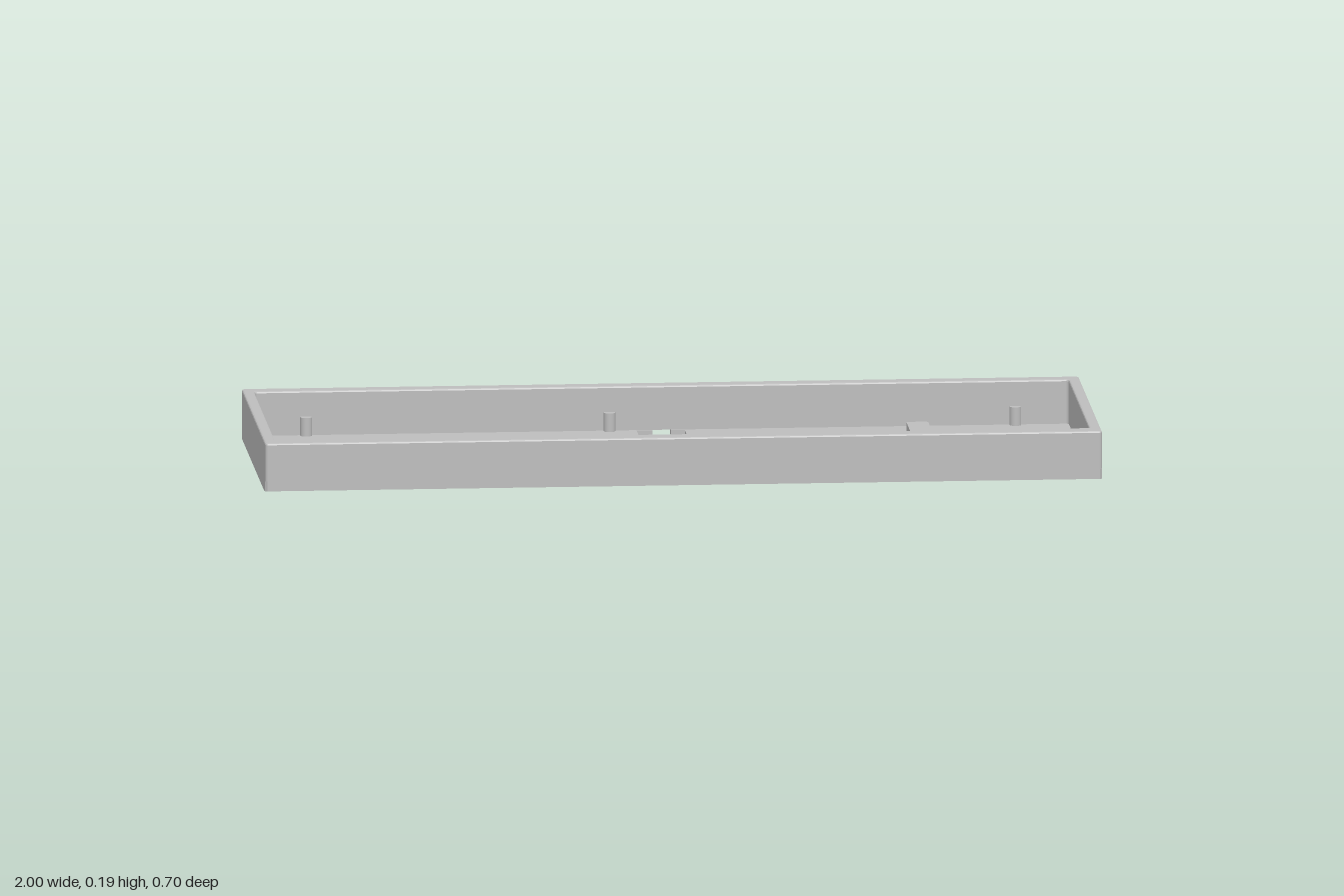
import * as THREE from 'three';

const grey = new THREE.MeshStandardMaterial({ color: 0xbdbdbd });
grey.name = 'grey plastic';

// height of the sloping underside at depth z
const slope = (z) => 0.0335 + 0.108 * z;

// closed outline in the x-z plane from corner points
const outline = (points) => new THREE.Shape(points.map(([x, z]) => new THREE.Vector2(x, z)));

// rectangle in the x-z plane with rounded corners
function rect(x0, x1, z0, z1, r = 0.008) {
  const s = new THREE.Shape();
  s.absarc(x1 - r, z1 - r, r, 0, Math.PI / 2);
  s.absarc(x0 + r, z1 - r, r, Math.PI / 2, Math.PI);
  s.absarc(x0 + r, z0 + r, r, Math.PI, Math.PI * 1.5);
  s.absarc(x1 - r, z0 + r, r, Math.PI * 1.5, Math.PI * 2);
  s.closePath();
  return s;
}

export function createModel() {
  const group = new THREE.Group();

  function add(name, geometry) {
    const mesh = new THREE.Mesh(geometry, grey);
    mesh.name = name;
    group.add(mesh);
    return mesh;
  }

  // vertical slab between two heights; each height may be a function of z
  function slab(name, shape, bottom, top, holes = []) {
    shape.holes = holes;
    const geo = new THREE.ExtrudeGeometry(shape, { depth: 1, bevelEnabled: false, curveSegments: 5 });
    const p = geo.attributes.position;
    const at = (h, z) => (typeof h === 'function' ? h(z) : h);
    for (let i = 0; i < p.count; i++) {
      const z = p.getY(i);
      p.setXYZ(i, p.getX(i), p.getZ(i) < 0.5 ? at(top, z) : at(bottom, z), z);
    }
    geo.computeVertexNormals();
    return add(name, geo);
  }

  const cavity = () => rect(-0.973, 0.973, -0.31, 0.305);

  // floor, with the cable channel, port and rear notch cut into its outline
  slab('floor', outline([
    [-1, -0.345], [-0.995, -0.35], [-0.05, -0.35], [-0.05, -0.33], [-0.022, -0.33], [-0.022, -0.305],
    [-0.06, -0.305], [-0.06, -0.235], [-0.735, -0.235], [-0.735, -0.135], [0.055, -0.135],
    [0.055, -0.305], [0.022, -0.305], [0.022, -0.33], [0.05, -0.33], [0.05, -0.35],
    [0.995, -0.35], [1, -0.345], [1, 0.31], [-1, 0.31],
  ]), 0.067, 0.08);
  slab('frontLowerEdge', outline([[-1, 0.31], [1, 0.31], [1, 0.345], [0.995, 0.35], [-0.995, 0.35], [-1, 0.345]]),
    slope, 0.08);

  // walls: a notched lower course, a plain upper course and a bevelled rim
  slab('lowerWalls', outline([
    [-1, -0.345], [-0.995, -0.35], [-0.05, -0.35], [-0.05, -0.33], [0.05, -0.33], [0.05, -0.35],
    [0.995, -0.35], [1, -0.345], [1, 0.345], [0.995, 0.35], [-0.995, 0.35], [-1, 0.345],
  ]), 0.08, 0.095, [cavity()]);
  slab('upperWalls', rect(-1, 1, -0.35, 0.35), 0.095, 0.183, [cavity()]);
  const rimShape = rect(-1, 1, -0.35, 0.35);
  rimShape.holes = [cavity()];
  const bevel = 0.004;
  const rim = add('rim', new THREE.ExtrudeGeometry(rimShape, {
    depth: 0.004, bevelThickness: bevel, bevelSize: bevel, bevelOffset: -bevel, bevelSegments: 2, curveSegments: 5,
  }));
  rim.rotation.x = Math.PI / 2;
  rim.position.y = 0.183;

  // wedge underneath: a thin skin with foot recesses, then a core with the channel
  const feet = [];
  for (const x of [-0.85, 0.85]) {
    for (const z of [-0.255, 0.22]) {
      feet.push(new THREE.Path().absarc(x, z, 0.03, 0, Math.PI * 2));
    }
  }
  const skinTop = (z) => slope(z) + 0.003;
  slab('wedgeSkin', rect(-0.91, 0.91, -0.31, 0.309), slope, skinTop, feet);
  slab('wedgeCore', rect(-0.91, 0.91, -0.31, 0.28), skinTop, 0.067, [outline([
    [-0.735, -0.235], [-0.06, -0.235], [-0.06, -0.305], [0.055, -0.305], [0.055, -0.135], [-0.735, -0.135],
  ])]);
  slab('channelFloor', rect(-0.735, -0.095, -0.235, -0.135, 0.001), skinTop, 0.05);
  slab('portPocketFloor', rect(-0.095, 0.055, -0.305, -0.135, 0.001), skinTop, 0.03);

  // small pegs in the port pocket
  for (const x of [-0.05, 0.043]) {
    for (const z of [-0.294, -0.215]) {
      const peg = add('portPeg', new THREE.CylinderGeometry(0.007, 0.007, 0.02, 12));
      peg.position.set(x, 0.04, z);
    }
  }

  // mounting posts along the inner walls
  const posts = [[-0.85, -0.304], [-0.125, -0.304], [0.845, -0.304], [-0.64, 0.3], [0.39, 0.3], [0.72, 0.3]];
  for (const [x, z] of posts) {
    const post = add('mountingPost', new THREE.CylinderGeometry(0.014, 0.014, 0.046, 20));
    post.position.set(x, 0.102, z);
  }

  // tongue reaching inward from the front wall
  slab('frontTongue', rect(0.545, 0.597, 0.185, 0.315), 0.14, 0.185);

  return group;
}
